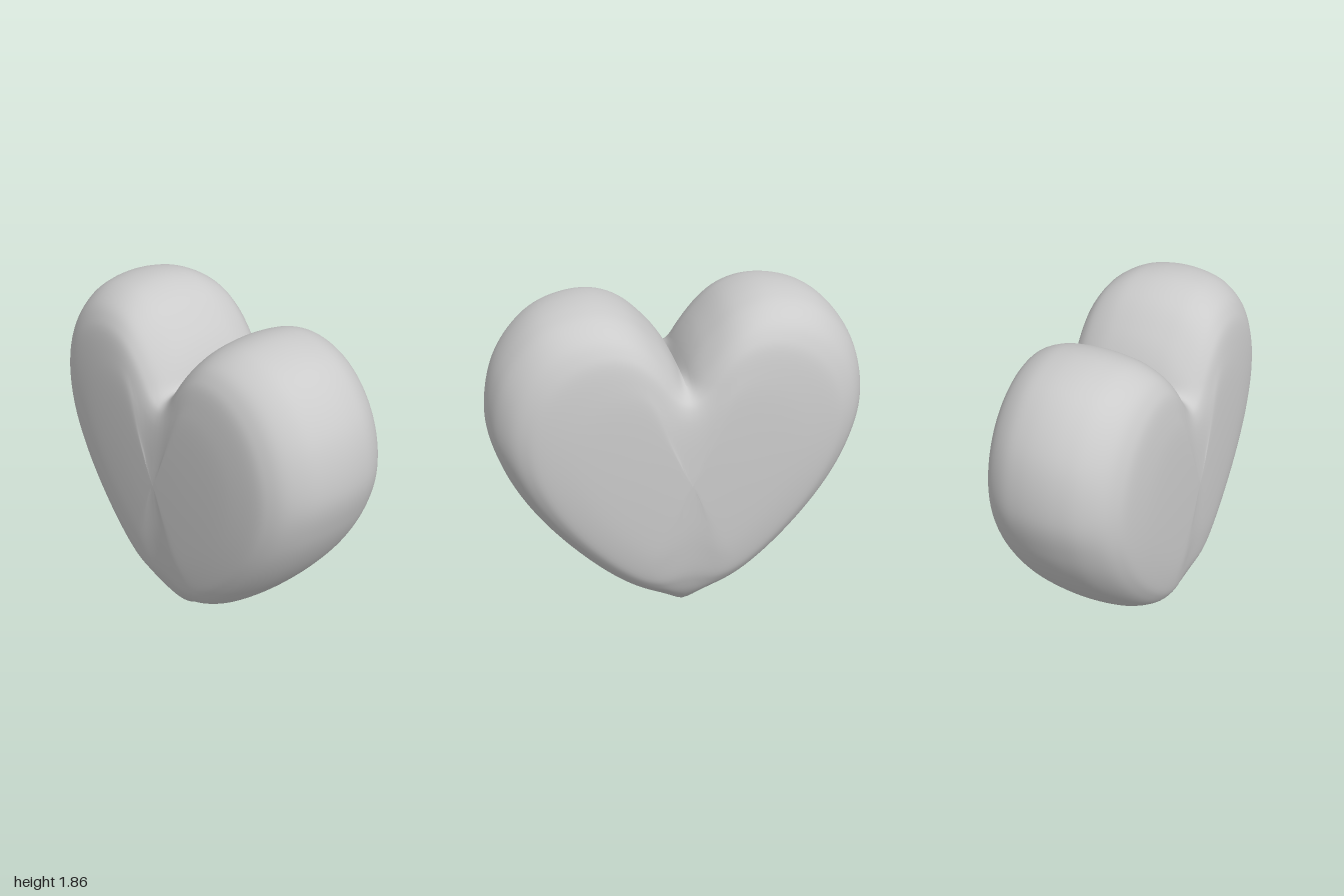
import * as THREE from 'three';
import { toCreasedNormals } from 'three/addons/utils/BufferGeometryUtils.js';

const HALF = 100;      // outline segments per side
const RINGS = 72;      // cross-sections from front to back
const CENTRE_Y = 0.95;

// Closed heart outline: right half from notch to tip, then mirrored.
function heartOutline() {
  const half = new THREE.CatmullRomCurve3([
    [0, 1.48], [0.05, 1.58], [0.13, 1.69], [0.28, 1.82], [0.47, 1.87], [0.73, 1.8], [0.93, 1.57],
    [1, 1.26], [0.95, 1.02], [0.84, 0.79], [0.65, 0.53], [0.385, 0.265], [0, 0.005],
  ].map(([x, y]) => new THREE.Vector3(x, y, 0))).getSpacedPoints(HALF);
  const mirrored = half.slice(1, -1).reverse().map((p) => new THREE.Vector3(-p.x, p.y, 0));
  return [...half, ...mirrored];
}

// Depth profile: x = scale of the outline, y = depth, from front centre to back centre.
function depthProfile() {
  const front = [[0, 0.425], [0.3, 0.422], [0.6, 0.41], [0.78, 0.384], [0.86, 0.348],
    [0.92, 0.292], [0.97, 0.2], [0.993, 0.1]];
  const back = front.map(([s, z]) => [s, -z]).reverse();
  return new THREE.SplineCurve([...front, [1, 0], ...back]
    .map(([s, z]) => new THREE.Vector2(s, z))).getPoints(RINGS);
}

function heartGeometry() {
  const outline = heartOutline();
  const n = outline.length;
  const at = (u) => {
    const i = Math.floor(u);
    return outline[((i % n) + n) % n].clone().lerp(outline[(((i + 1) % n) + n) % n], u - i);
  };

  // Each ring is the outline scaled inward, with the notch and tip softened as it shrinks.
  const positions = [];
  const profile = depthProfile();
  for (const { x, y: z } of profile) {
    const s = THREE.MathUtils.clamp(x, 0, 1);
    const blur = Math.min(12, 40 * (1 - s));
    for (let i = 0; i < n; i++) {
      const p = new THREE.Vector3();
      for (let k = -4; k <= 4; k++) p.addScaledVector(at(i + (k * blur) / 4), 1 / 9);
      const o = outline[i];
      const nearMiddle = Math.exp(-((o.x / 0.2) ** 2));
      const pull = s ** (1 + 0.85 * nearMiddle);
      positions.push(p.x * s, CENTRE_Y + (p.y - CENTRE_Y) * pull, z);
    }
  }

  // Skin the rings; the first and last rings are collapsed to points.
  const index = [];
  const last = profile.length - 2;
  for (let r = 0; r <= last; r++) {
    for (let i = 0; i < n; i++) {
      const j = (i + 1) % n;
      const a = r * n + i, b = r * n + j, c = a + n, d = b + n;
      if (r > 0) index.push(a, b, c);
      if (r < last) index.push(b, d, c);
      else continue;
    }
  }
  const geometry = new THREE.BufferGeometry();
  geometry.setAttribute('position', new THREE.Float32BufferAttribute(positions, 3));
  geometry.setIndex(index);
  return toCreasedNormals(geometry, 0.7);
}

export function createModel() {
  const group = new THREE.Group();
  group.name = 'heart';
  const body = new THREE.Mesh(heartGeometry(),
    new THREE.MeshStandardMaterial({ color: 0xcccccc, roughness: 0.7 }));
  body.name = 'heartBody';
  group.add(body);
  return group;
}
